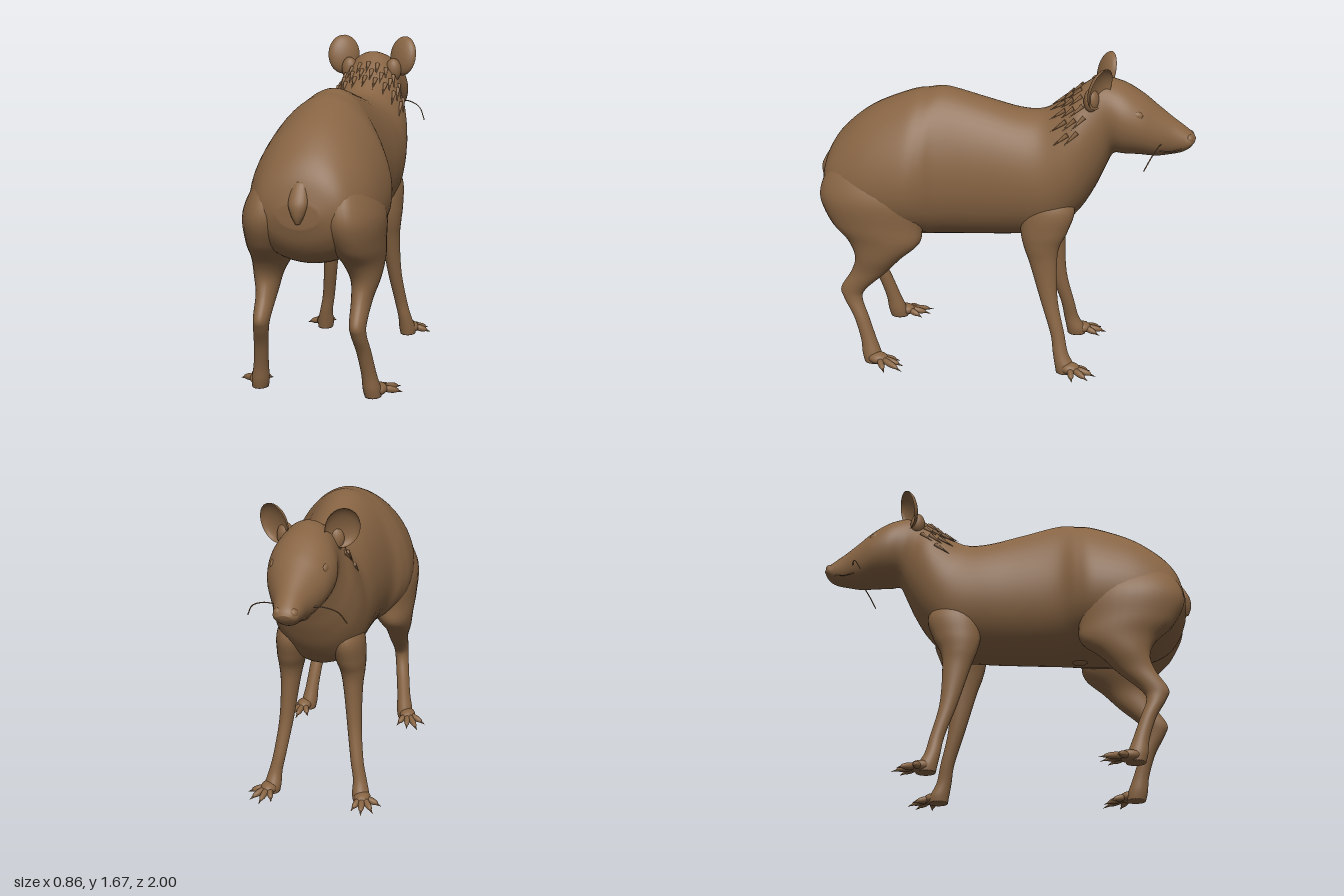
import * as THREE from 'three';

const fur = new THREE.MeshStandardMaterial({ color: 0x876443, side: THREE.DoubleSide });
fur.name = 'brown fur';

// Catmull-Rom blend of parameter rows, t from 0 to rows.length - 1
function sample(rows, t) {
  const i = Math.min(Math.floor(t), rows.length - 2), f = t - i;
  const r = (n) => rows[Math.max(0, Math.min(rows.length - 1, n))];
  return rows[i].map((b, c) => {
    const a = r(i - 1)[c], d = r(i + 1)[c], e = r(i + 2)[c];
    return b + 0.5 * f * (d - a + f * (2 * a - 5 * b + 4 * d - e + f * (3 * (b - d) + e - a)));
  });
}

// Smooth closed skin through rings; point(row, angle) gives a ring's points
function loft(rows, point, seg = 40, sub = 6) {
  const pos = [], idx = [], n = (rows.length - 1) * sub;
  const cap = (row) => {
    const a = point(row, 0), b = point(row, Math.PI);
    return a.map((v, k) => (v + b[k]) / 2);
  };
  for (let i = 0; i <= n; i++) {
    const row = sample(rows, i / sub);
    for (let j = 0; j < seg; j++) pos.push(...point(row, j / seg * Math.PI * 2));
  }
  pos.push(...cap(rows[0]), ...cap(rows[rows.length - 1]));
  const first = (n + 1) * seg, last = first + 1;
  for (let j = 0; j < seg; j++) {
    const k = (j + 1) % seg;
    for (let i = 0; i < n; i++) {
      const a = i * seg + j, b = i * seg + k;
      idx.push(a, b, a + seg, b, b + seg, a + seg);
    }
    idx.push(first, k, j, last, n * seg + j, n * seg + k);
  }
  const g = new THREE.BufferGeometry();
  g.setAttribute('position', new THREE.Float32BufferAttribute(pos, 3));
  g.setIndex(idx);
  g.computeVertexNormals();
  return g;
}

// Torso, neck and head: top z, top y, bottom z, bottom y, half width, pear shape
const bodyRows = [
  [0.968, 1.04, 0.968, 0.92, 0.1, 0],
  [0.93, 1.16, 0.93, 0.82, 0.205, 0],
  [0.85, 1.27, 0.85, 0.735, 0.272, 0.08],
  [0.7, 1.385, 0.7, 0.69, 0.322, 0.15],
  [0.5, 1.47, 0.5, 0.69, 0.337, 0.2],
  [0.4, 1.49, 0.4, 0.69, 0.312, 0.18],
  [0.3, 1.5, 0.3, 0.69, 0.267, 0.15],
  [0.1, 1.45, 0.1, 0.7, 0.25, 0.1],
  [-0.08, 1.405, -0.1, 0.715, 0.248, 0.06],
  [-0.2, 1.405, -0.28, 0.745, 0.243, 0.08],
  [-0.29, 1.45, -0.41, 0.87, 0.233, 0.06],
  [-0.36, 1.505, -0.49, 1.0, 0.21, 0],
  [-0.43, 1.56, -0.54, 1.11, 0.175, 0],
  [-0.5, 1.595, -0.58, 1.19, 0.158, 0],
  [-0.62, 1.57, -0.64, 1.195, 0.17, 0],
  [-0.72, 1.515, -0.72, 1.195, 0.155, 0],
  [-0.8, 1.455, -0.8, 1.19, 0.12, 0],
  [-0.88, 1.395, -0.87, 1.2, 0.085, 0],
  [-0.95, 1.345, -0.93, 1.215, 0.067, 0],
  [-0.985, 1.315, -0.97, 1.24, 0.058, 0],
  [-1.0, 1.29, -0.99, 1.265, 0.03, 0],
];
const bodyPoint = ([tz, ty, bz, by, w, k], a) => {
  const s = Math.sin(-a);
  return [w * Math.cos(a) * (1 - k * s), (ty + by) / 2 + s * (ty - by) / 2, (tz + bz) / 2 + s * (tz - bz) / 2];
};

// Legs and tail: y, centre x, centre z, x radius, z radius
const hindRows = [
  [1.2, 0.16, 0.66, 0.03, 0.08],
  [1.1, 0.18, 0.67, 0.1, 0.22],
  [0.95, 0.195, 0.675, 0.152, 0.283],
  [0.8, 0.215, 0.65, 0.13, 0.25],
  [0.7, 0.235, 0.61, 0.1, 0.195],
  [0.61, 0.25, 0.64, 0.072, 0.125],
  [0.52, 0.245, 0.695, 0.052, 0.095],
  [0.42, 0.245, 0.78, 0.042, 0.07],
  [0.36, 0.25, 0.785, 0.038, 0.05],
  [0.26, 0.265, 0.74, 0.037, 0.04],
  [0.14, 0.28, 0.7, 0.038, 0.042],
  [0.06, 0.29, 0.68, 0.045, 0.052],
  [0.012, 0.295, 0.67, 0.042, 0.05],
];
const foreRows = [
  [1.06, 0.12, -0.25, 0.03, 0.05],
  [0.92, 0.142, -0.26, 0.083, 0.135],
  [0.79, 0.155, -0.24, 0.08, 0.125],
  [0.7, 0.165, -0.228, 0.064, 0.095],
  [0.6, 0.17, -0.24, 0.05, 0.072],
  [0.4, 0.185, -0.275, 0.038, 0.046],
  [0.22, 0.21, -0.325, 0.034, 0.037],
  [0.12, 0.23, -0.345, 0.036, 0.04],
  [0.05, 0.24, -0.37, 0.045, 0.052],
  [0.012, 0.243, -0.375, 0.042, 0.05],
];
const tailRows = [
  [1.14, 0, 0.925, 0.03, 0.015],
  [1.05, 0, 0.96, 0.048, 0.034],
  [0.99, 0, 0.967, 0.034, 0.033],
  [0.945, 0, 0.965, 0.012, 0.02],
];
const limbPoint = (s) => ([y, x, z, rx, rz], a) => [s * x + rx * Math.cos(a), y, z + rz * Math.sin(a)];
const LEGS = {
  hind: { rows: hindRows, paw: [0.315, 0.64], tips: [[0.43, 0.58], [0.4, 0.49], [0.335, 0.495], [0.27, 0.53]] },
  fore: { rows: foreRows, paw: [0.255, -0.4], tips: [[0.365, -0.425], [0.335, -0.51], [0.275, -0.545], [0.215, -0.51]] },
};

export function createModel() {
  const model = new THREE.Group();
  model.name = 'agouti';
  const add = (name, geometry, p = [0, 0, 0], parent = model) => {
    const m = new THREE.Mesh(geometry, fur);
    m.name = name;
    m.position.set(...p);
    parent.add(m);
    return m;
  };
  const ball = (name, p, scale, parent) => add(name, new THREE.SphereGeometry(1, 20, 14).scale(...scale), p, parent);
  const tube = (name, pts, r) => add(name, new THREE.TubeGeometry(
    new THREE.CatmullRomCurve3(pts.map((p) => new THREE.Vector3(...p))), 16, r, 6));
  // Tapered spike running from one point to another
  const spike = (name, from, to, r, parent) => {
    const a = new THREE.Vector3(...from), b = new THREE.Vector3(...to), len = a.distanceTo(b);
    const g = new THREE.ConeGeometry(r, len, 8).translate(0, len / 2, 0).rotateX(Math.PI / 2);
    add(name, g, from, parent).lookAt(b);
  };

  add('body', loft(bodyRows, bodyPoint, 48));
  add('tail', loft(tailRows, limbPoint(1), 20));
  ball('bellyBump', [0, 0.71, 0.4], [0.035, 0.035, 0.05]);

  for (const s of [1, -1]) {
    const side = s > 0 ? 'left' : 'right';

    // Legs with paws, toes and claws
    for (const [end, { rows, paw, tips }] of Object.entries(LEGS)) {
      const leg = new THREE.Group();
      leg.name = `${side} ${end}Leg`;
      model.add(leg);
      add('limb', loft(rows, limbPoint(s), 28), [0, 0, 0], leg);
      ball('paw', [s * paw[0], 0.042, paw[1]], [0.044, 0.032, 0.055], leg);
      for (const [tx, tz] of tips) {
        const at = (f, y) => [s * (paw[0] + (tx - paw[0]) * f), y, paw[1] + (tz - paw[1]) * f];
        const len = Math.hypot(tx - paw[0], tz - paw[1]);
        ball('toe', at(0.45, 0.034), [0.017, 0.018, len * 0.38], leg).lookAt(...at(1, 0.018));
        spike('claw', at(0.62, 0.028), at(1, 0.012), 0.012, leg);
      }
    }

    // Cupped ear opening forward and outward
    const ear = add(`${side} ear`, new THREE.SphereGeometry(1, 28, 12, 0, Math.PI * 2, 0, Math.PI / 2)
      .rotateX(Math.PI / 2).scale(0.09, 0.11, 0.045), [s * 0.172, 1.573, -0.522]);
    ear.rotation.set(-0.25, -0.5 * s, 0);
    ball(`${side} earBase`, [s * 0.125, 1.5, -0.47], [0.045, 0.065, 0.04]);

    // Face
    ball(`${side} eye`, [s * 0.126, 1.43, -0.7], [0.018, 0.026, 0.034]);
    ball(`${side} nostrilRim`, [s * 0.036, 1.295, -0.968], [0.024, 0.024, 0.022]);
    tube(`${side} mouthLine`, [[s * 0.088, 1.24, -0.82], [s * 0.077, 1.232, -0.87], [s * 0.057, 1.245, -0.93], [s * 0.03, 1.25, -0.965]], 0.003);
    tube(`${side} whisker`, [[s * 0.09, 1.28, -0.83], [s * 0.15, 1.275, -0.815], [s * 0.21, 1.245, -0.79], [s * 0.245, 1.18, -0.755]], 0.003);
  }

  // Swept-back tufts lying close over the nape and neck
  for (let row = 0; row < 3; row++) {
    for (let j = -4; j <= 4; j++) {
      const a = -Math.PI / 2 + (j + (row % 2) * 0.5) * 0.27;
      const root = bodyPoint(sample(bodyRows, 11.7 - row * 0.6), a);
      const tip = bodyPoint(sample(bodyRows, 10.7 - row * 0.6), a);
      tip[1] += 0.006;
      spike('napeTuft', root, tip, 0.013);
    }
  }
  return model;
}
